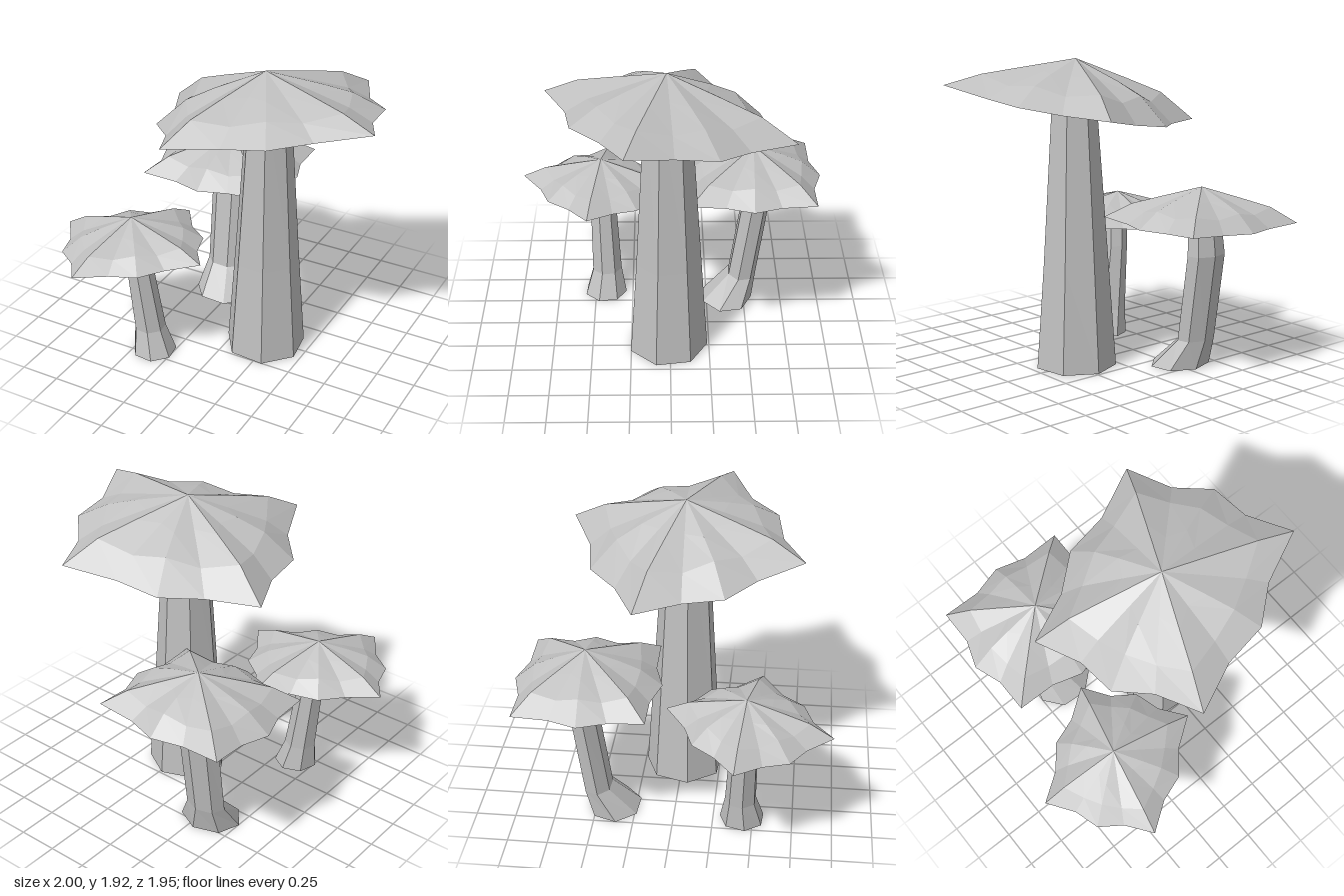
import * as THREE from 'three';

const stone = new THREE.MeshStandardMaterial({ color: 0xc0c0c0, flatShading: true });
stone.name = 'paleGrey';

// Joins equal rings of points; ends are fanned to the first and last point
function skin(name, first, rings, last) {
  const n = rings[0].length;
  const points = [first, ...rings.flat(), last];
  const end = points.length - 1;
  const index = [];
  for (let i = 0; i < n; i++) {
    const j = (i + 1) % n;
    index.push(0, 1 + j, 1 + i);
    for (let r = 0; r < rings.length - 1; r++) {
      const a = 1 + r * n, b = a + n;
      index.push(a + i, a + j, b + i, a + j, b + j, b + i);
    }
    const k = end - n;
    index.push(end, k + i, k + j);
  }
  const g = new THREE.BufferGeometry();
  g.setAttribute('position', new THREE.Float32BufferAttribute(points.flat(), 3));
  g.setIndex(index);
  const flat = g.toNonIndexed();
  flat.computeVertexNormals();
  const mesh = new THREE.Mesh(flat, stone);
  mesh.name = name;
  return mesh;
}

// Rim: a quarter outline (tip, notch, bulge, notch) turned four times, then
// sized, spun and laid on a tilted plane; it sags between the tips
function starRim({ center: [cx, cy, cz], size: [sx, sz], spin, tilt, sag }) {
  const quarter = [[1, 1], [0.44, 1], [0, 1.14], [-0.44, 1]];
  const origin = new THREE.Vector2();
  const rim = [];
  for (let q = 0; q < 4; q++) {
    quarter.forEach((point, i) => {
      const p = new THREE.Vector2(...point).rotateAround(origin, q * Math.PI / 2);
      p.set(p.x * sx, p.y * sz).rotateAround(origin, THREE.MathUtils.degToRad(spin));
      const y = cy + tilt[0] * p.x + tilt[1] * p.y - (i > 0 ? sag : 0);
      rim.push([cx + p.x, y, cz + p.y]);
    });
  }
  return rim;
}

// Cap: two domed rings between the apex and the rim, with a shallow hollow below
function cap(apex, rimShape, hollow) {
  const rim = starRim(rimShape);
  const ring = (spread, drop) => rim.map((p, i) => {
    const t = spread[i % 4], d = drop[i % 4];
    return [
      apex[0] + (p[0] - apex[0]) * t,
      apex[1] + (p[1] - apex[1]) * d,
      apex[2] + (p[2] - apex[2]) * t,
    ];
  });
  const inner = ring([0.42, 0.38, 0.46, 0.38], [0.32, 0.31, 0.32, 0.31]);
  const outer = ring([0.72, 0.78, 0.72, 0.78], [0.56, 0.66, 0.54, 0.66]);
  return skin('cap', apex, [inner, outer, rim], [apex[0], hollow, apex[2]]);
}

// Stem: seven-sided sections [x, y, z, x radius, z radius] from top to bottom
function stem(sections) {
  const rings = sections.map(([x, y, z, rx, rz]) => Array.from({ length: 7 }, (_, i) => {
    const a = 0.3 + i * 2 * Math.PI / 7;
    return [x + rx * Math.cos(a), y, z + rz * Math.sin(a)];
  }));
  const top = sections[0], base = sections[sections.length - 1];
  return skin('stem', top.slice(0, 3), rings, base.slice(0, 3));
}

const mushrooms = [
  {
    name: 'tallMushroom', apex: [0.2, 1.92, 0.02], hollow: 1.74,
    rim: {
      center: [0.2275, 1.653, 0.015], size: [0.596, 0.541],
      spin: -24.75, tilt: [0.152, 0.088], sag: 0.025,
    },
    sections: [
      [0.22, 1.77, 0.02, 0.13, 0.14], [0.215, 0.65, 0.015, 0.207, 0.21],
      [0.215, 0, 0.015, 0.255, 0.255],
    ],
  },
  {
    name: 'backMushroom', apex: [-0.33, 1.15, -0.54], hollow: 1,
    rim: {
      center: [-0.335, 0.94, -0.525], size: [0.435, 0.397],
      spin: 0, tilt: [0.03, 0], sag: 0.012,
    },
    sections: [
      [-0.35, 1.03, -0.54, 0.11, 0.08], [-0.35, 0.73, -0.565, 0.135, 0.092],
      [-0.345, 0.18, -0.488, 0.132, 0.095], [-0.305, 0, -0.385, 0.2, 0.17],
    ],
  },
  {
    name: 'frontMushroom', apex: [-0.5, 0.96, 0.45], hollow: 0.84,
    rim: {
      center: [-0.485, 0.788, 0.465], size: [0.385, 0.35],
      spin: -35.5, tilt: [0.045, 0], sag: 0.015,
    },
    sections: [
      [-0.49, 0.88, 0.47, 0.085, 0.085], [-0.46, 0.6, 0.44, 0.085, 0.088],
      [-0.41, 0.17, 0.425, 0.102, 0.1], [-0.375, 0, 0.435, 0.14, 0.142],
    ],
  },
];

export function createModel() {
  const model = new THREE.Group();
  model.name = 'mushroomCluster';
  for (const m of mushrooms) {
    const group = new THREE.Group();
    group.name = m.name;
    group.add(cap(m.apex, m.rim, m.hollow), stem(m.sections));
    model.add(group);
  }
  return model;
}
